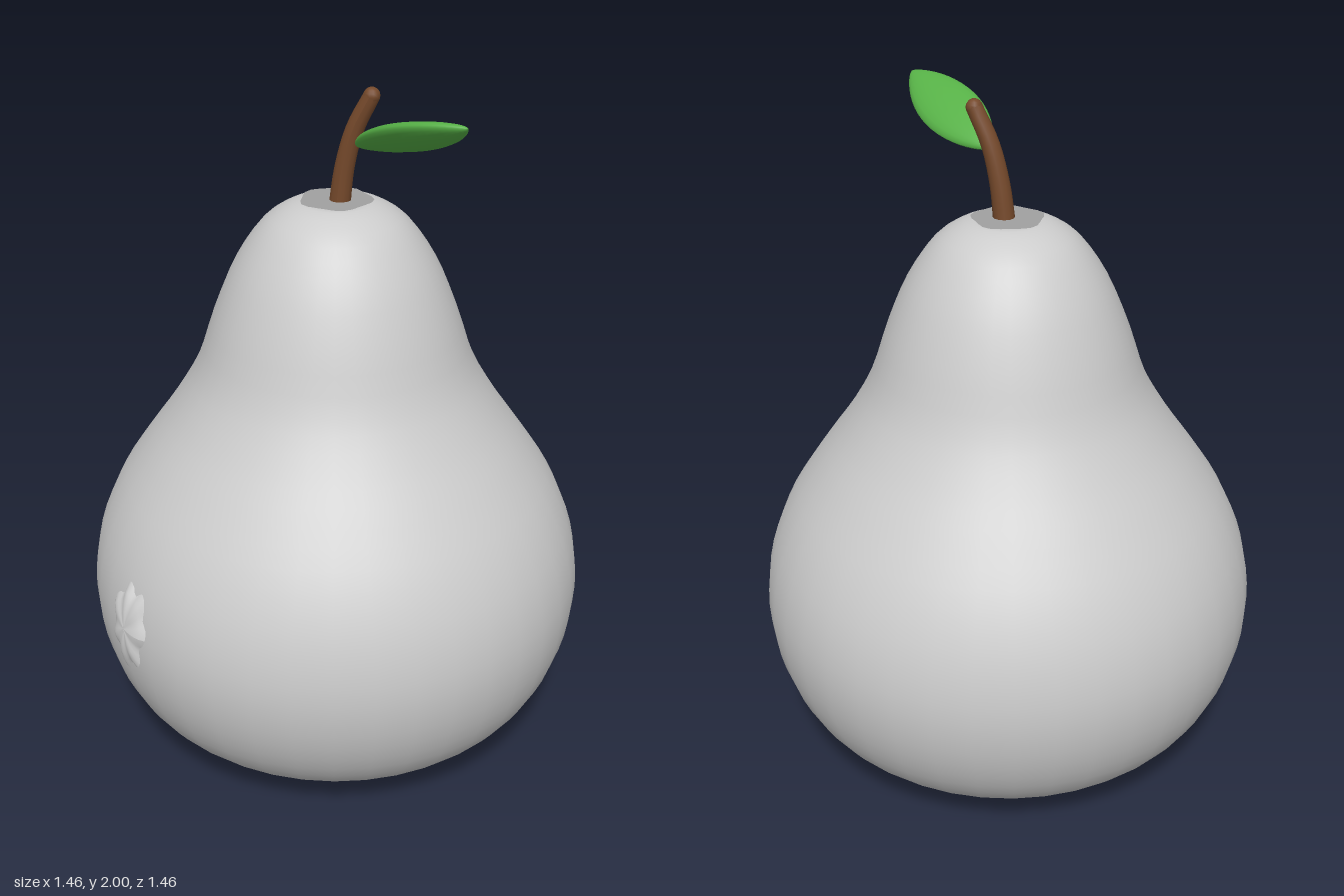
import * as THREE from 'three';

const mat = (name, color) => {
  const m = new THREE.MeshStandardMaterial({ color });
  m.name = name;
  return m;
};

function addMesh(group, name, geometry, material) {
  const mesh = new THREE.Mesh(geometry, material);
  mesh.name = name;
  group.add(mesh);
  return mesh;
}

// Move every vertex by a rule, then refresh normals
function reshape(geometry, rule) {
  const p = geometry.attributes.position;
  const v = new THREE.Vector3();
  for (let i = 0; i < p.count; i++) {
    rule(v.fromBufferAttribute(p, i));
    p.setXYZ(i, v.x, v.y, v.z);
  }
  geometry.computeVertexNormals();
  return geometry;
}

// Pear outline as [radius, height]
const outline = new THREE.SplineCurve([
  [0.3, 0.005], [0.41, 0.035], [0.54, 0.1], [0.64, 0.2], [0.705, 0.34], [0.73, 0.5],
  [0.71, 0.66], [0.65, 0.81], [0.56, 0.95], [0.475, 1.07], [0.4, 1.2], [0.345, 1.36],
  [0.285, 1.5], [0.21, 1.61], [0.14, 1.66], [0.09, 1.675],
].map(([r, y]) => new THREE.Vector2(r, y))).getPoints(45);

function radiusAt(y) {
  const i = Math.max(1, outline.findIndex((p) => p.y >= y));
  const a = outline[i - 1], b = outline[i];
  return THREE.MathUtils.mapLinear(y, a.y, b.y, a.x, b.x);
}

export function createModel() {
  const skin = mat('pale grey skin', 0xcccccc);
  const hollow = mat('grey stem hollow', 0xa0a0a0);
  const scar = mat('light grey blemish', 0xd6d6d6);
  const bark = mat('brown stem', 0x75492b);
  const green = mat('leaf green', 0x56b046);
  const pear = new THREE.Group();
  pear.name = 'pear';

  // Body with a flat base
  const profile = [new THREE.Vector2(0, 0), new THREE.Vector2(0.29, 0), ...outline, new THREE.Vector2(0, 1.672)];
  addMesh(pear, 'body', new THREE.LatheGeometry(profile, 40), skin);

  // Uneven patch around the foot of the stem
  const patch = reshape(new THREE.CircleGeometry(0.1, 24).rotateX(-Math.PI / 2), (v) => {
    const a = Math.atan2(v.z, v.x);
    v.multiplyScalar(1 + 0.06 * Math.cos(5 * a + 1));
    v.y = 1.679;
  });
  addMesh(pear, 'stemHollow', patch, hollow);

  // Curved stem, thinner towards the top, with a rounded tip
  const path = new THREE.CatmullRomCurve3([
    new THREE.Vector3(0.01, 1.66, 0), new THREE.Vector3(0.024, 1.77, 0),
    new THREE.Vector3(0.053, 1.88, 0), new THREE.Vector3(0.1, 1.975, 0),
  ]);
  const stem = new THREE.Group();
  stem.name = 'stem';
  const rings = 12, sides = 12;
  const tube = new THREE.TubeGeometry(path, rings, 0.031, sides);
  let n = 0;
  reshape(tube, (v) => {
    const t = Math.floor(n++ / (sides + 1)) / rings;
    v.lerp(path.getPointAt(t), 0.25 * t);
  });
  addMesh(stem, 'stemShaft', tube, bark);
  addMesh(stem, 'stemTip', new THREE.SphereGeometry(0.0235, 12, 8), bark).position.set(0.1, 1.975, 0);
  pear.add(stem);

  // Plump leaf with blunt ends: y is its length, x its width, z its thickness
  const leaf = reshape(new THREE.SphereGeometry(1, 20, 24), (v) => {
    const s = Math.sqrt(Math.max(0, 1 - v.y * v.y));
    v.x *= 0.083 * (0.35 + 0.65 * s);
    v.z *= 0.026;
    v.y *= 0.212;
  });
  const along = new THREE.Vector3(0.35, 0.13, 0.2).normalize();
  const up = new THREE.Vector3(0, 0.84, -0.546).normalize();
  const across = along.clone().cross(up).normalize();
  up.crossVectors(across, along);
  const leafMesh = addMesh(pear, 'leaf', leaf, green);
  leafMesh.quaternion.setFromRotationMatrix(new THREE.Matrix4().makeBasis(across, along, up));
  leafMesh.position.set(0.248, 1.916, 0.146);

  // Raised blemish with a lobed edge, wrapped onto the skin
  const blemish = reshape(new THREE.RingGeometry(0.001, 1, 42, 5), (v) => {
    const s = Math.hypot(v.x, v.y), a = Math.atan2(v.y, v.x);
    const lobe = 1 + s * (0.09 * Math.cos(7 * a - 0.4) + 0.05 * Math.sin(3 * a));
    const y = 0.555 + 0.136 * v.y * lobe;
    const turn = -0.622 + (0.083 * v.x * lobe + 0.012 * v.y) / 0.73;
    const r = radiusAt(y) + 0.015 * (1 - s ** 4) - 0.002 + 0.003 * s * Math.cos(7 * a);
    v.set(r * Math.sin(turn), y, r * Math.cos(turn));
  });
  addMesh(pear, 'blemish', blemish, scar);

  return pear;
}
